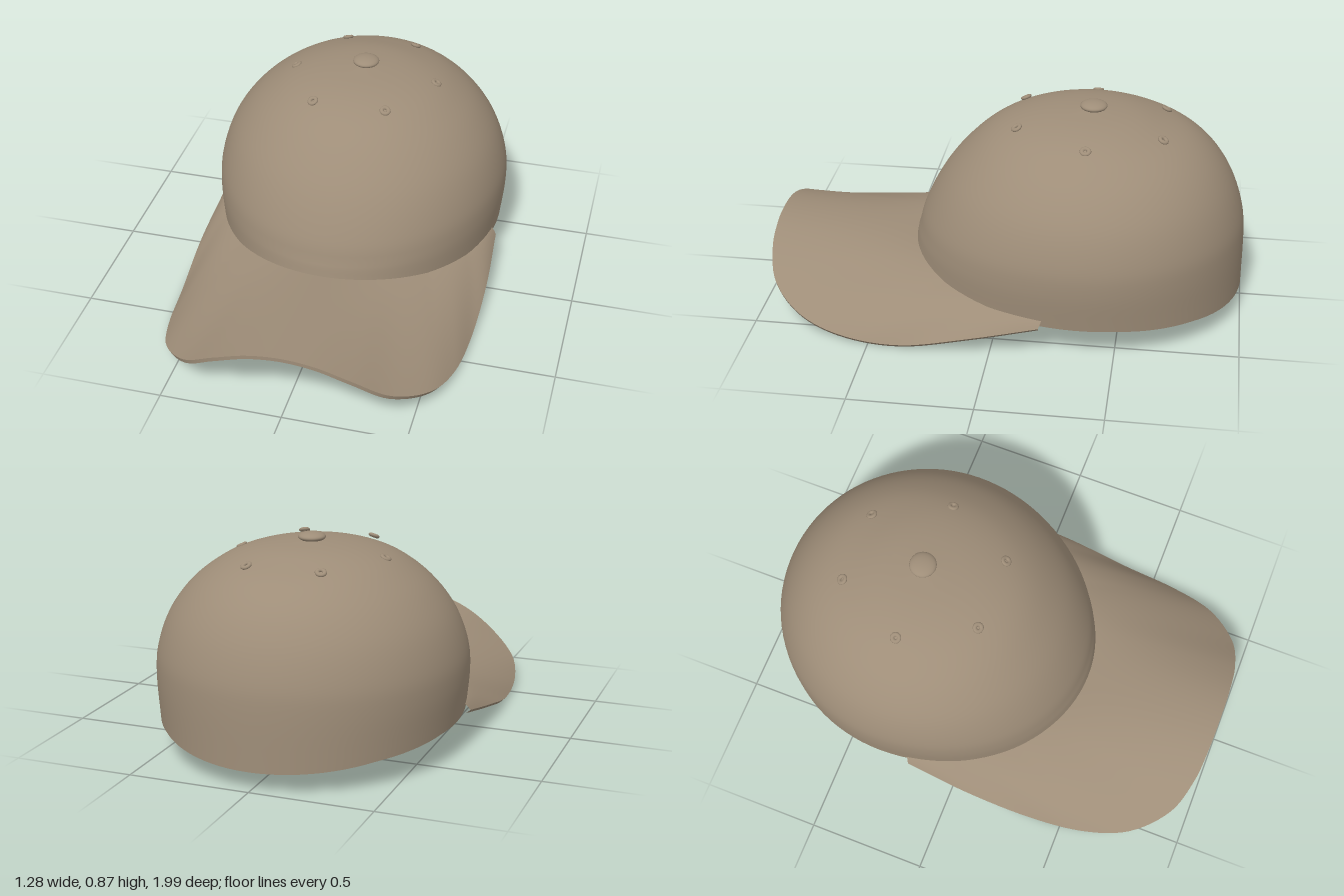
import * as THREE from 'three';
import { toCreasedNormals } from 'three/addons/utils/BufferGeometryUtils.js';

const CENTRE_Z = -0.34;

// Smooth sheet through a grid of points: at(i, j) gives [x, y, z]
function sheet(rows, cols, at) {
  const pos = [], index = [];
  for (let i = 0; i <= rows; i++)
    for (let j = 0; j <= cols; j++) pos.push(...at(i, j));
  for (let i = 0; i < rows; i++)
    for (let j = 0; j < cols; j++) {
      const a = i * (cols + 1) + j, b = a + cols + 1;
      index.push(a, b, a + 1, b, b + 1, a + 1);
    }
  const geo = new THREE.BufferGeometry();
  geo.setAttribute('position', new THREE.Float32BufferAttribute(pos, 3));
  geo.setIndex(index);
  return toCreasedNormals(geo, 0.8);
}

// Crown profile: height, half width, front z, back z
const PROFILE = [
  [0.837, 0, -0.34, -0.34], [0.821, 0.165, -0.16, -0.51], [0.79, 0.29, -0.03, -0.63],
  [0.74, 0.39, 0.075, -0.76], [0.66, 0.49, 0.17, -0.86], [0.55, 0.572, 0.263, -0.935],
  [0.42, 0.62, 0.337, -0.982], [0.3, 0.63, 0.378, -0.996], [0.1, 0.615, 0.397, -0.998],
];
const column = (k) => new THREE.CatmullRomCurve3(
  PROFILE.map((p) => new THREE.Vector3(p[k], p[0], 0)), false, 'catmullrom');
const widthCurve = column(1), frontCurve = column(2), backCurve = column(3);

// Height of the crown's lower edge at a given z
const RIM = [[-1, 0.08], [-0.8, 0.113], [-0.5, 0.137], [-0.2, 0.143], [0, 0.15], [0.2, 0.175], [0.4, 0.222]];
function rimHeight(z) {
  let k = 0;
  while (k < RIM.length - 2 && z > RIM[k + 1][0]) k++;
  const t = THREE.MathUtils.clamp((z - RIM[k][0]) / (RIM[k + 1][0] - RIM[k][0]), 0, 1);
  return THREE.MathUtils.lerp(RIM[k][1], RIM[k + 1][1], t);
}

// Point of the crown at t (0 top, 1 rim) and angle a from the front
function crownPoint(t, a, scale = 1, drop = 0) {
  const w = widthCurve.getPoint(t), c = Math.cos(a);
  const reach = Math.abs((c > 0 ? frontCurve : backCurve).getPoint(t).x - CENTRE_Z);
  const x = w.x * Math.sin(a) * scale;
  const z = CENTRE_Z + reach * c * scale;
  let y = w.y;
  if (y < 0.3) y = 0.3 - (0.3 - y) / 0.2 * (0.3 - rimHeight(z));
  return [x, y - drop * (1 - t), z];
}

export function createModel() {
  const cap = new THREE.Group();
  cap.name = 'cap';
  const fabric = new THREE.MeshStandardMaterial({ color: 0x9e8d78 });
  fabric.name = 'taupe fabric';
  const add = (name, geo, parent = cap) => {
    const mesh = new THREE.Mesh(geo, fabric);
    mesh.name = name;
    parent.add(mesh);
    return mesh;
  };

  // Crown: outer wall, rim and inner wall in one loft
  const N = 40, SIDES = 96;
  add('crown', sheet(2 * N + 1, SIDES, (i, j) => {
    const a = ((j % SIDES) / SIDES) * Math.PI * 2;
    return i <= N ? crownPoint(i / N, a) : crownPoint((2 * N + 1 - i) / N, a, 0.972, 0.018);
  }));

  // Brim: curved sheet between the crown's front and a drooping outline
  const half = [
    [0, 0.292, 0.99], [0.14, 0.276, 0.988], [0.28, 0.224, 0.975], [0.42, 0.142, 0.925],
    [0.545, 0.073, 0.79], [0.607, 0.027, 0.6], [0.632, 0.02, 0.36], [0.641, 0.08, 0.08],
    [0.628, 0.143, -0.2],
  ];
  const mirrored = half.slice(1).reverse().map(([x, y, z]) => [-x, y, z]);
  const outline = new THREE.CatmullRomCurve3(
    [...mirrored, ...half].map((p) => new THREE.Vector3(...p)), false, 'catmullrom');
  const V = 20, U = 96;
  add('brim', sheet(2 * V + 1, U, (i, j) => {
    const u = (j / U) * 2 - 1, a = THREE.MathUtils.degToRad(80 * u);
    const under = i > V;
    const v = (under ? 2 * V + 1 - i : i) / V;
    const inner = crownPoint(1, a, 0.985), outer = outline.getPoint(j / U);
    const side = Math.sin(a) ** 2;
    const start = inner[1] + 0.015 + 0.02 * side;
    const p = [
      THREE.MathUtils.lerp(inner[0], outer.x, v ** (1 - 0.35 * side)),
      THREE.MathUtils.lerp(start, outer.y, v),
      THREE.MathUtils.lerp(inner[2], outer.z, v),
    ];
    if (under) {
      p[0] -= 0.018 * Math.sin(a);
      p[1] -= 0.016;
    }
    return p;
  }));

  // Button on top
  const button = add('topButton', new THREE.SphereGeometry(0.056, 32, 16));
  button.scale.y = 0.36;
  button.position.set(0, 0.845, CENTRE_Z - 0.01);

  // Six stitched eyelets around the button
  const up = new THREE.Vector3(0, 0, 1);
  for (const [x, y, z] of [[0.155, 0.797, -0.05], [0.31, 0.783, -0.345], [0.155, 0.78, -0.645]])
    for (const s of [-1, 1]) {
      const eyelet = new THREE.Group();
      eyelet.name = 'eyelet';
      const normal = new THREE.Vector3(s * x * 1.4, 0.9, (z - CENTRE_Z) * 1.4).normalize();
      eyelet.position.set(s * x, y, z);
      eyelet.quaternion.setFromUnitVectors(up, normal);
      const ring = add('eyeletRing', new THREE.TorusGeometry(0.0145, 0.009, 10, 24), eyelet);
      ring.scale.z = 0.8;
      cap.add(eyelet);
    }
  return cap;
}
